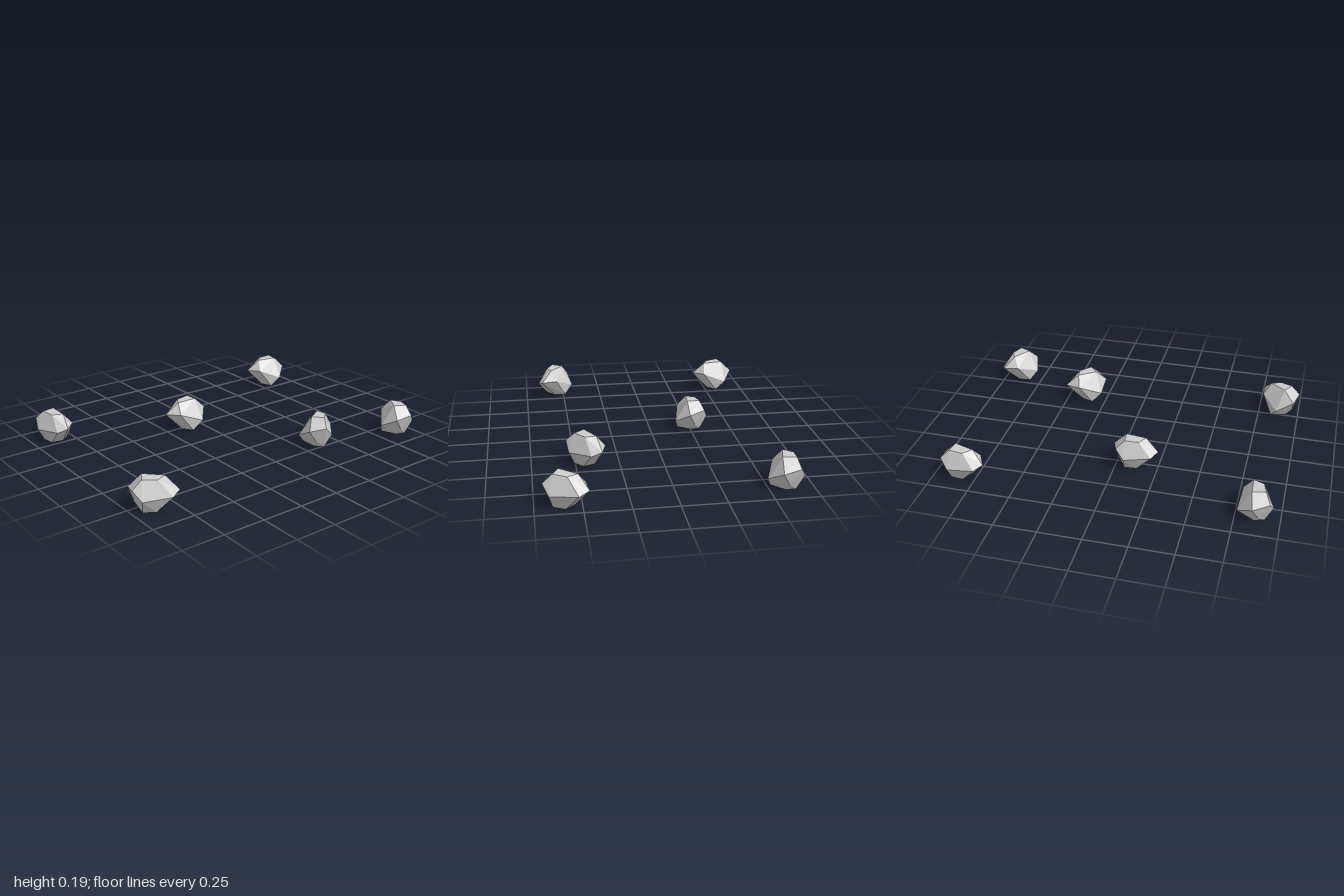
import * as THREE from 'three';
import { ConvexGeometry } from 'three/addons/geometries/ConvexGeometry.js';

// Corner points of one faceted stone; the narrow end points to +x.
const CORNERS = [
  // flat base
  [0.03, 0, -0.03], [0.02, 0, 0.04], [-0.05, 0, 0.055], [-0.07, 0, 0], [-0.02, 0, -0.085],
  // girdle
  [0.135, 0.11, -0.015], [0.108, 0.09, 0.042], [-0.04, 0.08, 0.098], [-0.095, 0.135, 0.08],
  [-0.137, 0.115, -0.01], [-0.08, 0.06, -0.098], [0.065, 0.115, -0.083], [-0.1, 0.045, 0.02],
  // flat top
  [0.055, 0.18, -0.03], [0.03, 0.18, 0.03], [-0.05, 0.185, 0.05], [-0.065, 0.185, -0.025],
];

// Each stone: x, z, turn in degrees
const STONES = [
  [-0.608, -0.825, -108],
  [0.58, -0.905, 141],
  [0.433, -0.39, 119],
  [-0.262, 0.114, -97],
  [-0.553, 0.86, 0],
  [0.563, 0.873, 47],
];

export function createModel() {
  const group = new THREE.Group();
  group.name = 'scatteredStones';
  const geometry = new ConvexGeometry(CORNERS.map((p) => new THREE.Vector3(...p)));
  const material = new THREE.MeshStandardMaterial({ color: 0xcccccc, flatShading: true });

  STONES.forEach(([x, z, turn], i) => {
    const stone = new THREE.Mesh(geometry, material);
    stone.name = `stone${i + 1}`;
    stone.position.set(x, 0, z);
    stone.rotation.y = THREE.MathUtils.degToRad(turn);
    group.add(stone);
  });
  return group;
}
